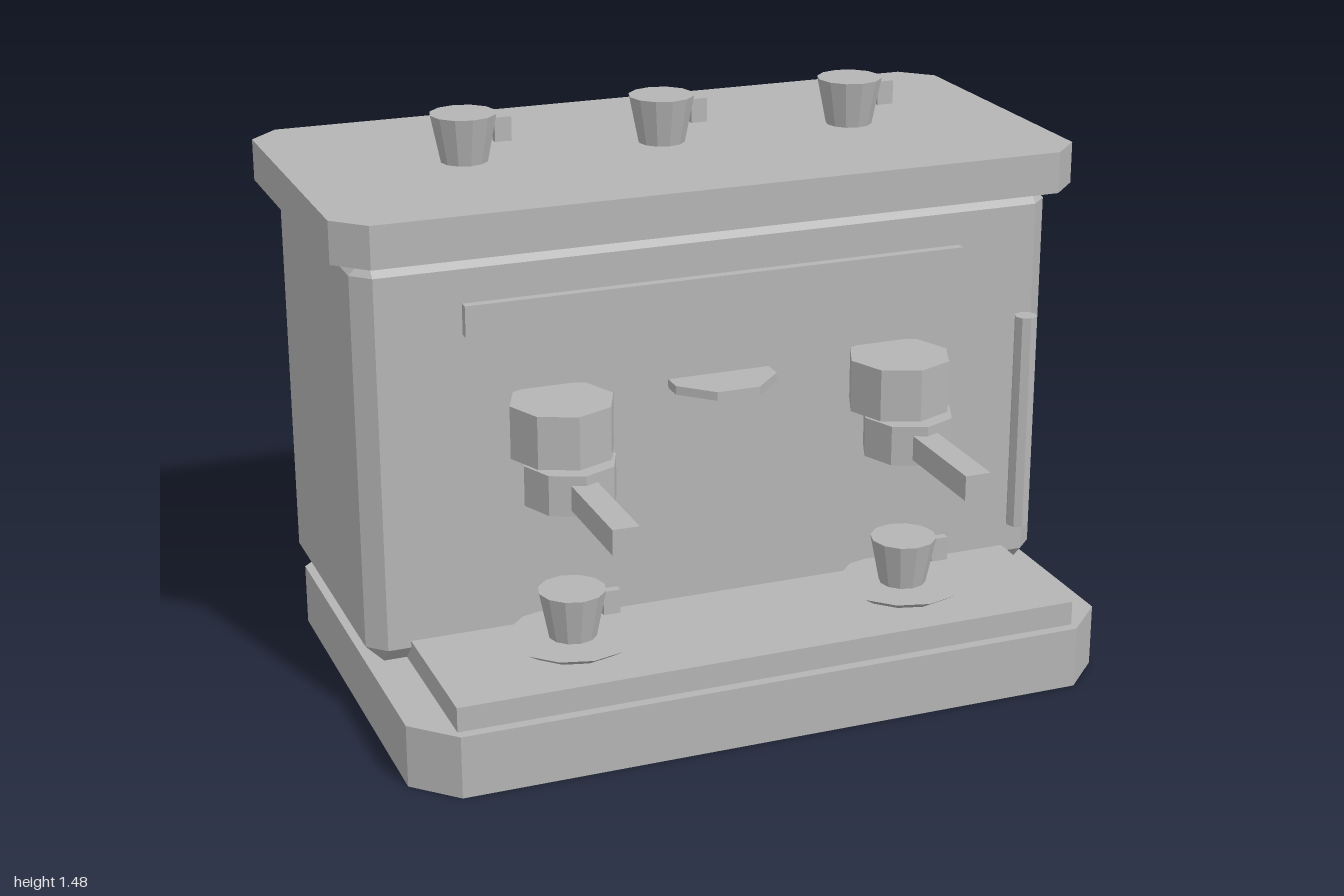
import * as THREE from 'three';
import { ConvexGeometry } from 'three/addons/geometries/ConvexGeometry.js';

export function createModel() {
  const root = new THREE.Group();
  root.name = 'espressoMachine';
  const grey = new THREE.MeshStandardMaterial({ color: 0xb4b4b4, flatShading: true });
  grey.name = 'grey';

  const add = (name, geometry, x = 0, y = 0, z = 0, parent = root) => {
    const mesh = new THREE.Mesh(geometry, grey);
    mesh.name = name;
    mesh.position.set(x, y, z);
    parent.add(mesh);
    return mesh;
  };

  // Box given by its limits
  const box = (name, x0, x1, y0, y1, z0, z1, parent) =>
    add(name, new THREE.BoxGeometry(x1 - x0, y1 - y0, z1 - z0),
      (x0 + x1) / 2, (y0 + y1) / 2, (z0 + z1) / 2, parent);

  // Upright prism or cone section standing on y0
  const prism = (name, rTop, rBottom, y0, y1, sides, x, z, parent, start = 0) =>
    add(name, new THREE.CylinderGeometry(rTop, rBottom, y1 - y0, sides, 1, false, start),
      x, (y0 + y1) / 2, z, parent);

  // Flat slab with its four upright corners cut off
  const slab = (name, w, y0, y1, z0, z1, c) => {
    const shape = new THREE.Shape([
      [-w, -z0 - c], [-w, -z1 + c], [-w + c, -z1], [w - c, -z1],
      [w, -z1 + c], [w, -z0 - c], [w - c, -z0], [-w + c, -z0],
    ].map(([x, y]) => new THREE.Vector2(x, y)));
    const geometry = new THREE.ExtrudeGeometry(shape, { depth: y1 - y0, bevelEnabled: false });
    geometry.rotateX(-Math.PI / 2);
    return add(name, geometry, 0, y0, 0);
  };

  // Base, drip tray and cup shelf
  slab('base', 0.945, 0, 0.165, -0.645, 0.595, 0.107);
  box('dripTray', -0.838, 0.838, 0.165, 0.23, 0.1, 0.567);
  slab('cupShelf', 1, 1.245, 1.355, -0.73, 0.243, 0.08);

  // Body: a box with every edge cut
  const half = [0.945, 0.54, 0.405], cut = 0.047, points = [];
  for (const sx of [-1, 1]) for (const sy of [-1, 1]) for (const sz of [-1, 1]) {
    for (let face = 0; face < 3; face++) {
      const [x, y, z] = half.map((h, axis) => (axis === face ? h : h - cut));
      points.push(new THREE.Vector3(sx * x, sy * y, sz * z));
    }
  }
  add('body', new ConvexGeometry(points), 0, 0.705, -0.24);

  // Front fittings
  box('controlStrip', -0.677, 0.677, 1.03, 1.11, 0.12, 0.19);
  prism('hotWaterSpout', 0.15, 0.15, 0.82, 0.843, 8, 0, 0.162, root, Math.PI / 8);
  prism('steamWand', 0.03, 0.03, 0.327, 0.92, 8, 0.84, 0.245);

  // Cup with a small square handle
  const cup = (name, x, y, z) => {
    const group = new THREE.Group();
    group.name = name;
    group.position.set(x, y, z);
    root.add(group);
    prism('cupBowl', 0.087, 0.062, 0, 0.125, 12, 0, 0, group);
    box('cupHandle', 0.08, 0.125, 0.043, 0.107, -0.011, 0.011, group);
  };

  for (const x of [-0.54, 0, 0.54]) cup('shelfCup', x, 1.355, -0.243);

  // Two brewing stations
  for (const x of [-0.46, 0.46]) {
    prism('groupHead', 0.135, 0.135, 0.73, 0.868, 8, x, 0.271);
    prism('filterHolder', 0.12, 0.12, 0.625, 0.73, 8, x, 0.329);
    box('filterHandle', x - 0.034, x + 0.034, 0.64, 0.705, 0.4, 0.73);
    prism('saucer', 0.168, 0.128, 0.23, 0.255, 12, x, 0.324);
    cup('trayCup', x, 0.255, 0.325);
  }
  return root;
}
